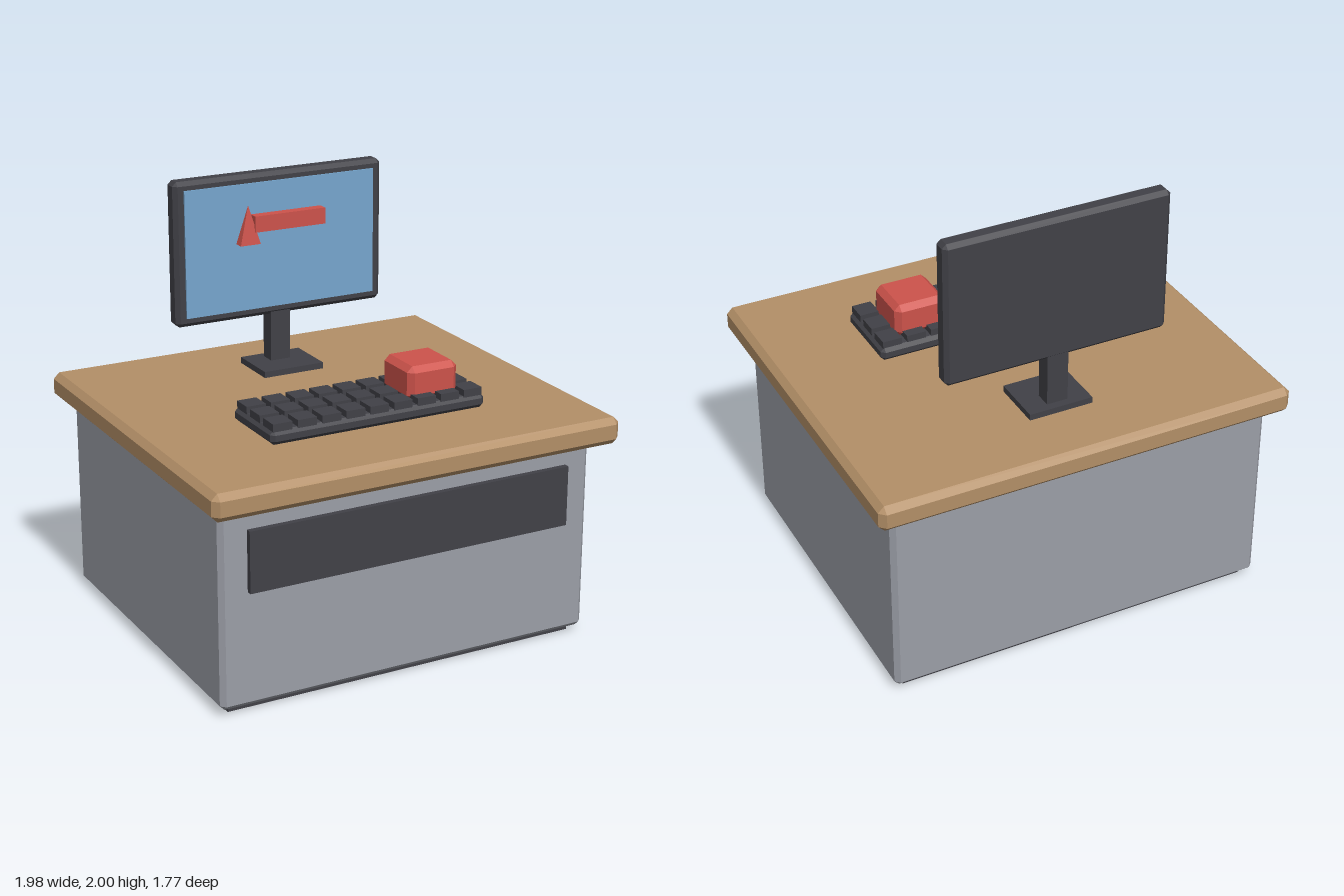
import * as THREE from 'three';
import { ConvexGeometry } from 'three/addons/geometries/ConvexGeometry.js';

function material(name, color) {
  const m = new THREE.MeshStandardMaterial({ color });
  m.name = name;
  return m;
}

// Box between two corners, with optional 45 degree chamfers on every edge
function boxGeometry(min, max, chamfer) {
  const size = max.map((v, i) => v - min[i]);
  if (!chamfer) return new THREE.BoxGeometry(...size);
  const points = [];
  for (const sx of [-1, 1]) for (const sy of [-1, 1]) for (const sz of [-1, 1]) {
    const signs = [sx, sy, sz];
    for (let axis = 0; axis < 3; axis++) {
      const p = signs.map((s, i) => s * (size[i] / 2 - (i === axis ? 0 : chamfer)));
      points.push(new THREE.Vector3(...p));
    }
  }
  return new ConvexGeometry(points);
}

export function createModel() {
  const model = new THREE.Group();
  model.name = 'computerDesk';

  const wood = material('wood', 0xb38f67);
  const grey = material('cabinetGrey', 0x9b9ea7);
  const dark = material('darkPlastic', 0x414147);
  const blue = material('screenBlue', 0x76a6ce);
  const red = material('red', 0xcd534b);

  function addBox(parent, name, mat, min, max, chamfer = 0) {
    const mesh = new THREE.Mesh(boxGeometry(min, max, chamfer), mat);
    mesh.position.set(...min.map((v, i) => (v + max[i]) / 2));
    mesh.name = name;
    parent.add(mesh);
    return mesh;
  }
  function addGroup(name) {
    const group = new THREE.Group();
    group.name = name;
    model.add(group);
    return group;
  }

  // Desk
  const desk = addGroup('desk');
  addBox(desk, 'plinth', dark, [-0.86, 0, -0.76], [0.86, 0.04, 0.71]);
  addBox(desk, 'cabinet', grey, [-0.91, 0.03, -0.807], [0.91, 0.945, 0.761], 0.022);
  addBox(desk, 'frontPanel', dark, [-0.783, 0.56, 0.75], [0.783, 0.84, 0.787]);
  addBox(desk, 'deskTop', wood, [-0.988, 0.942, -0.887], [0.988, 1.066, 0.887], 0.028);

  // Monitor on its stand
  const monitor = addGroup('monitor');
  addBox(monitor, 'standBase', dark, [-0.152, 1.064, -0.585], [0.152, 1.095, -0.332]);
  addBox(monitor, 'standNeck', dark, [-0.05, 1.09, -0.547], [0.05, 1.34, -0.47]);
  addBox(monitor, 'monitorCase', dark, [-0.53, 1.322, -0.55], [0.53, 2, -0.463], 0.019);
  addBox(monitor, 'screen', blue, [-0.483, 1.365, -0.464], [0.483, 1.96, -0.455]);

  // Floating arrow in front of the screen
  const arrow = addGroup('arrow');
  addBox(arrow, 'arrowShaft', red, [-0.178, 1.755, -0.406], [0.178, 1.83, -0.358]);
  const headGeometry = new THREE.ConeGeometry(Math.SQRT1_2, 1, 4).toNonIndexed();
  headGeometry.rotateY(Math.PI / 4);
  headGeometry.scale(0.1, 0.18, 0.048);
  headGeometry.computeVertexNormals();
  const head = new THREE.Mesh(headGeometry, red);
  head.name = 'arrowHead';
  head.position.set(-0.203, 1.79, -0.382);
  arrow.add(head);

  // Keyboard with three rows of nine keys
  const keyboard = addGroup('keyboard');
  addBox(keyboard, 'keyboardBase', dark, [-0.53, 1.066, 0.114], [0.53, 1.13, 0.489], 0.018);
  for (let row = 0; row < 3; row++) {
    for (let column = 0; column < 9; column++) {
      const x = (column - 4) * 0.1177;
      const z = 0.177 + row * 0.1265;
      addBox(keyboard, 'key', dark, [x - 0.046, 1.122, z - 0.047], [x + 0.046, 1.16, z + 0.047]);
    }
  }

  // Red block resting on the keyboard
  addBox(model, 'redBlock', red, [0.177, 1.125, 0.178], [0.427, 1.283, 0.428], 0.026);

  return model;
}
